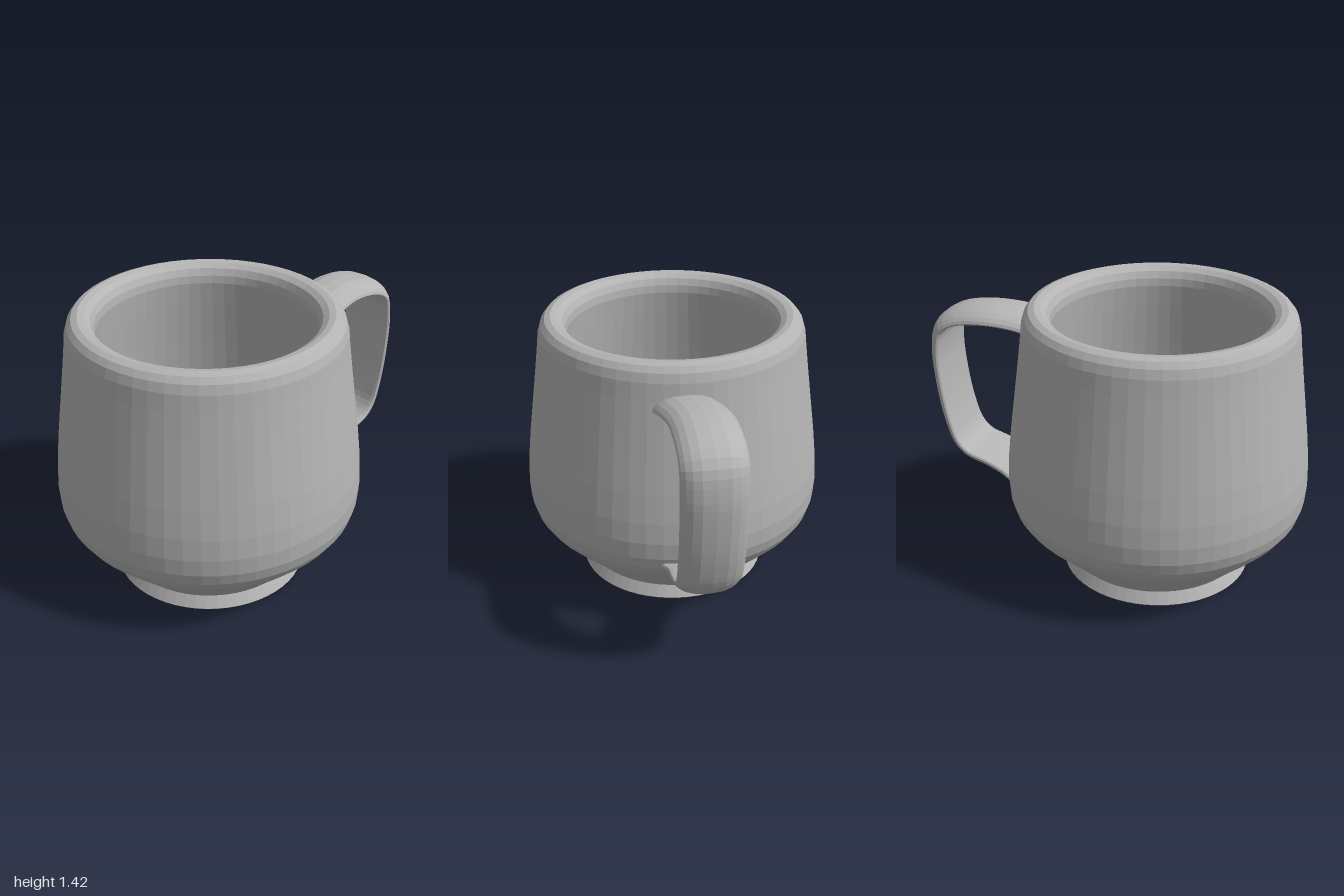
import * as THREE from 'three';

const CUP_X = -0.235;

// Faceted normals, one per face
function faceted(geometry) {
  const g = geometry.index ? geometry.toNonIndexed() : geometry;
  g.computeVertexNormals();
  return g;
}

// Closed lathe profile: base, foot, outer wall, rim, inner wall, floor
function cupGeometry() {
  const profile = [
    [0, 0], [0.475, 0], [0.485, 0.01], [0.455, 0.07],
    [0.545, 0.16], [0.635, 0.245], [0.7, 0.31], [0.738, 0.365], [0.758, 0.43], [0.765, 0.52],
    [0.76, 0.63], [0.744, 0.78], [0.722, 0.95], [0.7, 1.12], [0.684, 1.25],
    [0.675, 1.335], [0.662, 1.38], [0.64, 1.408], [0.61, 1.42],
    [0.578, 1.414], [0.55, 1.395], [0.534, 1.36], [0.53, 1.32],
    [0.545, 1.2], [0.575, 0.98], [0.605, 0.74], [0.618, 0.56], [0.605, 0.48], [0.565, 0.42],
    [0.44, 0.3], [0.315, 0.2], [0, 0.2],
  ].map(([r, y]) => new THREE.Vector2(r, y));
  return faceted(new THREE.LatheGeometry(profile, 56));
}

// Strap handle: a curved cross-section swept along a path in the xy plane
function handleGeometry() {
  const path = new THREE.CatmullRomCurve3([
    [0.38, 1.205, 0.05], [0.46, 1.238, 0.045], [0.65, 1.264, 0.015], [0.84, 1.235, 0.01],
    [0.925, 1.175, 0.01], [0.952, 1.05, 0.01], [0.94, 0.85, 0.01], [0.905, 0.66, 0.01],
    [0.86, 0.535, 0.01], [0.8, 0.475, 0.01], [0.68, 0.435, 0.01], [0.56, 0.393, 0], [0.46, 0.36, -0.01],
  ].map((p) => new THREE.Vector3(...p)));
  const steps = 48, sides = 20;
  const positions = [], index = [];

  for (let i = 0; i <= steps; i++) {
    const t = i / steps;
    const p = path.getPointAt(t);
    const tan = path.getTangentAt(t).setZ(0).normalize();
    // The strap flares where it meets the cup at the bottom
    const half = 0.156 + 0.035 * THREE.MathUtils.smoothstep(t, 0.9, 1);
    for (let j = 0; j < sides; j++) {
      const a = (j / sides) * Math.PI * 2;
      const s = Math.sin(a);
      const u = half * Math.sign(s) * Math.abs(s) ** 0.75;
      const v = 0.036 * Math.cos(a) + 0.01 - 0.03 * s * s;
      positions.push(p.x - tan.y * v, p.y + tan.x * v, p.z + u);
    }
  }
  for (let i = 0; i < steps; i++) {
    for (let j = 0; j < sides; j++) {
      const k = (j + 1) % sides;
      const a = i * sides + j, b = i * sides + k;
      index.push(a, b, b + sides, a, b + sides, a + sides);
    }
  }
  // End caps, buried in the cup wall
  const last = steps * sides;
  for (let j = 1; j < sides - 1; j++) {
    index.push(0, j + 1, j, last, last + j, last + j + 1);
  }

  const g = new THREE.BufferGeometry();
  g.setAttribute('position', new THREE.Float32BufferAttribute(positions, 3));
  g.setIndex(index);
  return faceted(g);
}

export function createModel() {
  const group = new THREE.Group();
  group.name = 'mug';
  const clay = new THREE.MeshStandardMaterial({ color: 0xb4b4b4 });
  clay.name = 'grey clay';

  const cup = new THREE.Mesh(cupGeometry(), clay);
  cup.name = 'cup';
  cup.position.x = CUP_X;

  const handle = new THREE.Mesh(handleGeometry(), clay);
  handle.name = 'handle';

  group.add(cup, handle);
  return group;
}
